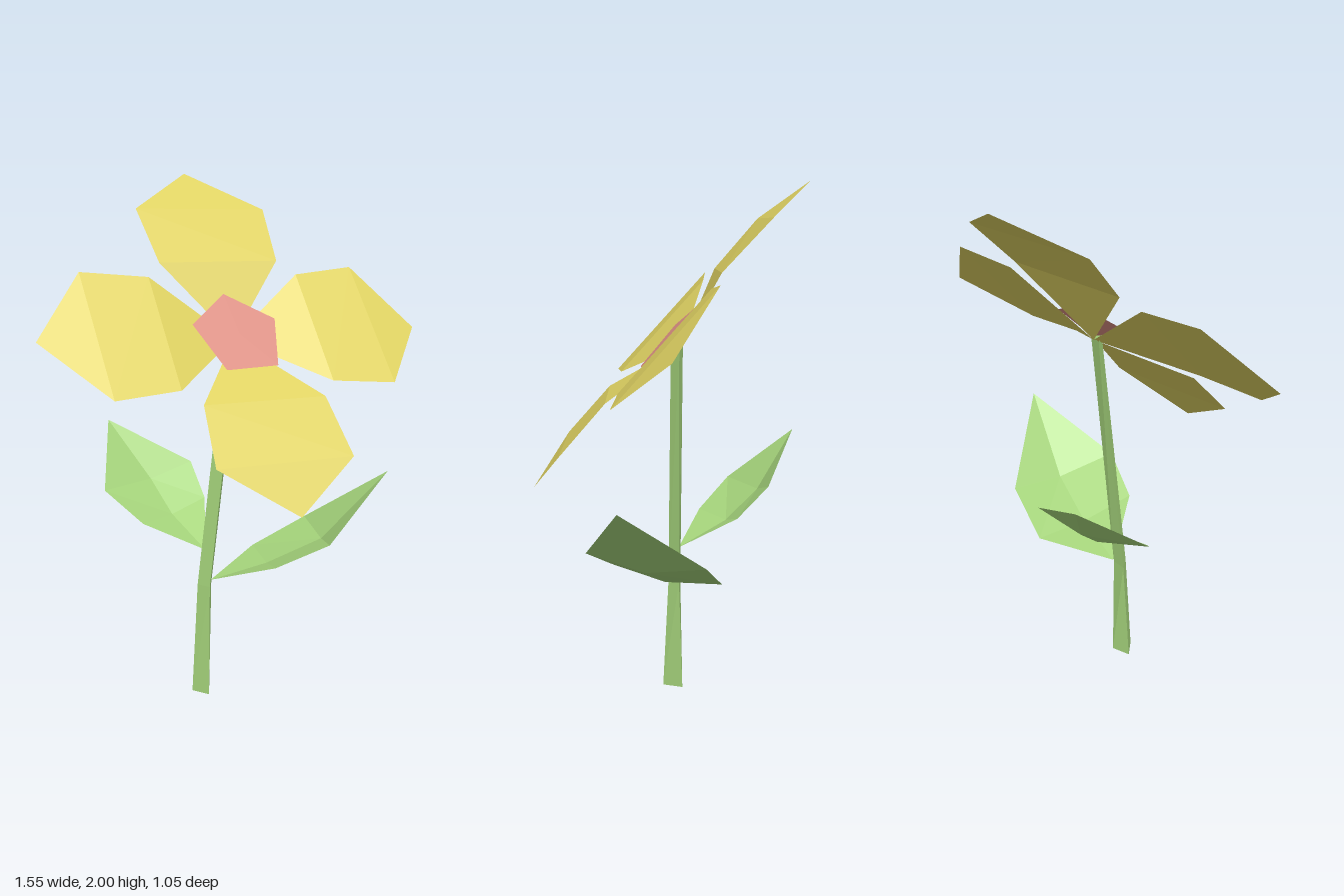
import * as THREE from 'three';

const paint = (name, color) => {
  const m = new THREE.MeshStandardMaterial({ color, side: THREE.DoubleSide });
  m.name = name;
  return m;
};

// Faceted mesh from corner points and triangles (unshared corners keep it flat)
function faceted(name, points, triangles, material) {
  const g = new THREE.BufferGeometry();
  g.setAttribute('position', new THREE.Float32BufferAttribute(triangles.flat().flatMap(i => points[i]), 3));
  g.computeVertexNormals();
  const mesh = new THREE.Mesh(g, material);
  mesh.name = name;
  return mesh;
}

export function createModel() {
  const yellow = paint('petalYellow', 0xdfd262);
  const pink = paint('centrePink', 0xdd9084);
  const green = paint('leafGreen', 0xa6d57c);
  const flower = new THREE.Group();
  flower.name = 'flower';

  // Petals: pointed base, two cross-sections and a tip, bent at the sections
  // Corner order: right inner, right outer, tip, left outer, left inner
  const petalBase = [0, 1.395, -0.04];
  const petals = {
    topPetal: [[0.262, 1.67, -0.16], [0.303, 1.86, -0.335], [0.04, 2.0, -0.51], [-0.245, 1.873, -0.36], [-0.232, 1.68, -0.19]],
    leftPetal: [[0.29, 1.25, 0.21], [0.55, 1.225, 0.245], [0.775, 1.4, 0.055], [0.58, 1.635, -0.118], [0.325, 1.617, -0.117]],
    bottomPetal: [[-0.268, 1.215, 0.225], [-0.31, 1.025, 0.39], [-0.047, 0.85, 0.525], [0.238, 1.012, 0.425], [0.225, 1.205, 0.255]],
    rightPetal: [[-0.295, 1.633, -0.152], [-0.555, 1.66, -0.187], [-0.78, 1.44, -0.04], [-0.587, 1.253, 0.18], [-0.33, 1.265, 0.177]],
  };
  // Corners run clockwise or anticlockwise alike around the flower face
  const petalFaces = [[0, 1, 5], [1, 2, 4], [1, 4, 5], [2, 3, 4]];
  for (const [name, rim] of Object.entries(petals))
    flower.add(faceted(name, [petalBase, ...rim], petalFaces, yellow));

  // Five-sided flower centre, tilted back with the petals
  const centre = new THREE.Mesh(new THREE.CircleGeometry(0.186, 5, Math.PI / 2), pink);
  centre.name = 'flowerCentre';
  centre.position.set(0, 1.42, 0.008);
  centre.rotation.x = -0.733;
  flower.add(centre);

  // Stem: open three-sided tube through three sections
  const stemPoints = [
    [-0.185, 0, -0.045], [-0.145, 0, 0.02], [-0.11, 0, -0.055],
    [-0.155, 0.44, -0.05], [-0.128, 0.44, 0], [-0.1, 0.44, -0.04],
    [-0.03, 1.4, -0.048], [-0.005, 1.4, 0], [0.02, 1.4, -0.03],
  ];
  const stemFaces = [];
  for (let s = 0; s < 6; s += 3)
    for (let i = 0; i < 3; i++) {
      const a = s + i, b = s + (i + 1) % 3;
      stemFaces.push([a, b, b + 3], [a, b + 3, a + 3]);
    }
  flower.add(faceted('stem', stemPoints, stemFaces, green));

  // Leaves: base, two sections of right edge, midrib, left edge, then the tip
  const leaves = {
    upperLeaf: [[-0.125, 0.58, -0.04],
      [-0.01, 0.72, -0.26], [-0.17, 0.68, -0.235], [-0.34, 0.69, -0.145],
      [-0.01, 0.845, -0.38], [-0.2, 0.8, -0.365], [-0.44, 0.805, -0.275],
      [-0.31, 1.025, -0.525]],
    lowerLeaf: [[-0.1, 0.45, -0.045],
      [0.17, 0.51, -0.18], [0.11, 0.507, 0.03], [0.03, 0.56, 0.23],
      [0.37, 0.625, -0.1], [0.31, 0.6, 0.115], [0.205, 0.65, 0.33],
      [0.545, 0.87, 0.225]],
  };
  const leafFaces = [
    [0, 1, 2], [0, 2, 3],
    [1, 4, 5], [1, 5, 2], [2, 5, 6], [2, 6, 3],
    [4, 7, 5], [5, 7, 6],
  ];
  for (const [name, points] of Object.entries(leaves)) {
    // The lower leaf runs the other way round, so turn its faces upward
    const faces = name === 'lowerLeaf' ? leafFaces.map(([a, b, c]) => [a, c, b]) : leafFaces;
    flower.add(faceted(name, points, faces, green));
  }
  return flower;
}
